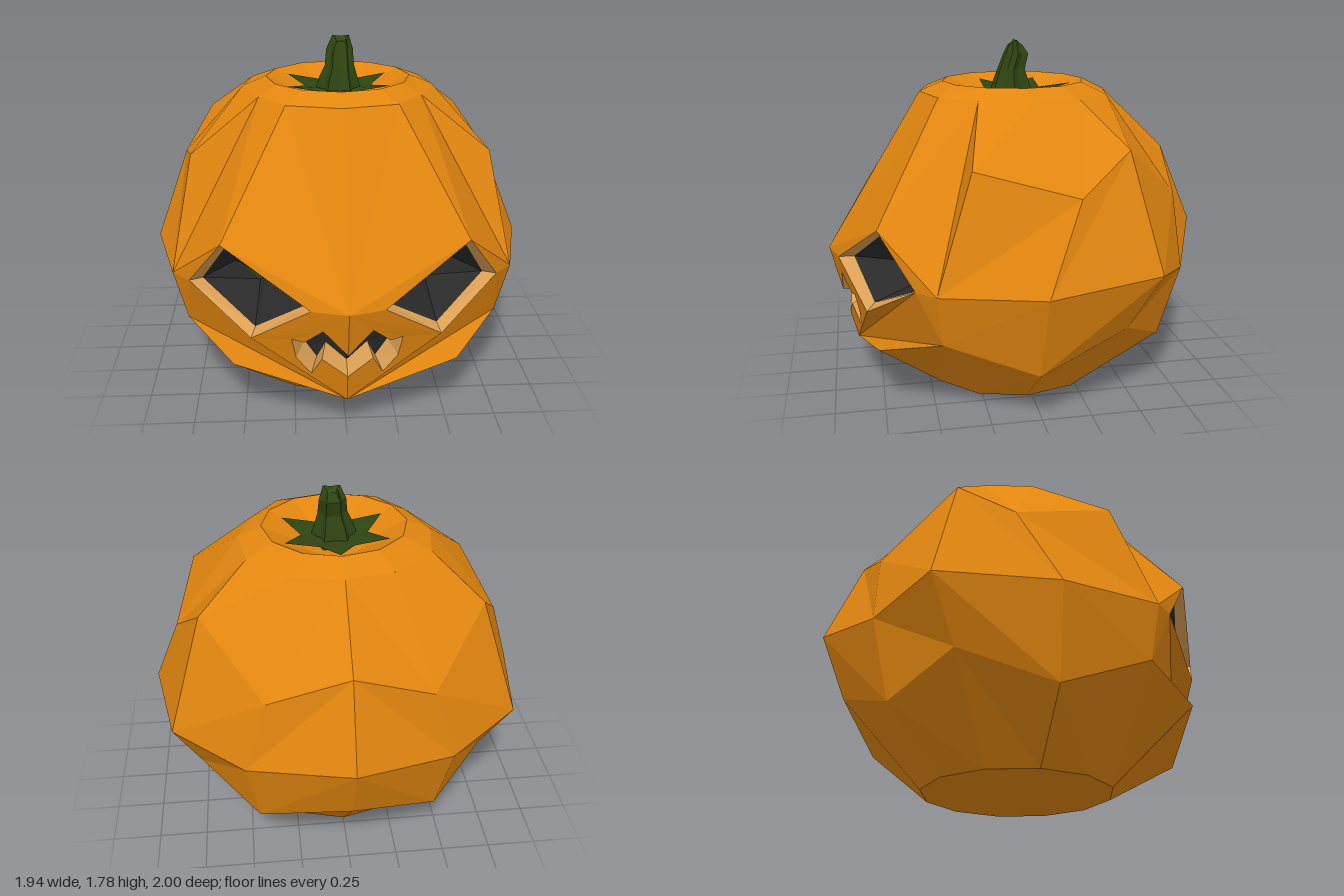
import * as THREE from 'three';

const mat = (name, color, side = THREE.FrontSide) => {
  const m = new THREE.MeshStandardMaterial({ color, side, flatShading: true });
  m.name = name;
  return m;
};

// Triangle collector: every helper takes [x, y, z] points, counter-clockwise from outside
class Faces {
  constructor() { this.data = []; }
  tri(a, b, c) { this.data.push(...a, ...b, ...c); }
  quad(a, b, c, d) { this.tri(a, b, c); this.tri(a, c, d); }
  poly(pts) {
    const flat = pts.map(p => new THREE.Vector2(p[0], p[1]));
    for (const [a, b, c] of THREE.ShapeUtils.triangulateShape(flat, [])) this.tri(pts[a], pts[b], pts[c]);
  }
  // Strip between two closed loops
  band(lower, upper) {
    const n = lower.length;
    for (let i = 0; i < n; i++) {
      const k = (i + 1) % n;
      this.quad(lower[i], lower[k], upper[k], upper[i]);
    }
  }
  fan(loop, tip) { loop.forEach((p, i) => this.tri(p, loop[(i + 1) % loop.length], tip)); }
  // Add the reflection in x
  mirror() {
    const d = this.data, n = d.length;
    for (let i = 0; i < n; i += 9)
      for (const k of [0, 6, 3]) d.push(-d[i + k], d[i + k + 1], d[i + k + 2]);
    return this;
  }
  mesh(name, material) {
    const g = new THREE.BufferGeometry();
    g.setAttribute('position', new THREE.Float32BufferAttribute(this.data, 3));
    g.computeVertexNormals();
    const m = new THREE.Mesh(g, material);
    m.name = name;
    return m;
  }
}

// Half ring of seven points, from the front round to the back
const halfRing = (y, r, cz = 0) => Array.from({ length: 7 }, (_, i) => {
  const a = i * Math.PI / 6;
  return [r * Math.sin(a), y, cz + r * Math.cos(a)];
});

export function createModel() {
  const group = new THREE.Group();
  const orange = mat('orange skin', 0xe2860f);
  const tan = mat('tan flesh', 0xdca055, THREE.DoubleSide);
  const dark = mat('dark hollow', 0x2a2a2a, THREE.DoubleSide);
  const green = mat('stem green', 0x2f4512, THREE.DoubleSide);

  // Rings of the +x half, bottom to top
  const low = [[0, .19, .87], [.54, .34, .77], [.78, .45, .48], [.84, .28, .03], [.74, .45, -.42], [.45, .28, -.68], [0, .44, -.87]];
  const mid = [[0, .71, 1], [.58, .71, .75], [.84, .71, .51], [.97, .71, .02], [.86, .75, -.55], [.51, .66, -.77], [0, .77, -1]];
  const up = [[0, .96, .846], [.58, .96, .76], [.74, 1.26, .33], [.82, 1.13, -.16], [.69, 1.32, -.42], [.4, 1.03, -.75], [0, 1.19, -.82]];
  const top = [[0, 1.525, .5], [.27, 1.525, .43], [.4, 1.525, .25], [.49, 1.525, 0], [.45, 1.52, -.24], [.24, 1.515, -.43], [0, 1.515, -.48]];
  const rings = [halfRing(0, .49, .025), low, mid, up, top, halfRing(1.575, .37, .01), halfRing(1.48, .17)];

  // Eye opening: inner corner, top, outer corner, bottom
  const eye = [[.17, .71, .95], [.58, .96, .76], [.75, .71, .6], [.45, .51, .82]];
  const eyeIn = [[.175, .71, .87], [.55, .945, .72], [.69, .7, .55], [.43, .55, .78]];
  const [eA, eB, eC, eD] = eye;

  // Mouth opening, right half from top notch to bottom notch
  const mouth2D = [[0, .47], [.115, .6], [.2, .52], [.26, .53], [.24, .42], [.17, .33], [.12, .43], [0, .34]];
  const mouth = mouth2D.map(([x, y]) => [x, y, 1 - .25 * (.71 - y) - .3 * x]);
  const mouthIn = mouth.map(([x, y, z], i) => [x * .83, i > 3 ? y + .035 : y - .005, z - .1]);

  // Skin: regular panels, leaving the carved front for later
  const skin = new Faces();
  for (let r = 0; r < rings.length - 1; r++)
    for (let j = 0; j < 6; j++) {
      if (j < 2 && r >= 1 && r <= 3) continue;
      skin.quad(rings[r][j], rings[r][j + 1], rings[r + 1][j + 1], rings[r + 1][j]);
    }
  for (let j = 0; j < 6; j++) {
    skin.tri(rings[0][j + 1], rings[0][j], [0, 0, .025]);
    skin.tri(rings[6][j], rings[6][j + 1], [0, 1.46, 0]);
  }
  // Carved front panels
  skin.poly([low[0], low[1], low[2], mid[2], eC, eD, eA, mid[0], ...mouth]);
  skin.poly([mid[0], eA, eB, top[1], top[0]]);
  skin.poly([eB, eC, mid[2], up[2], top[2], top[1]]);
  group.add(skin.mirror().mesh('pumpkinSkin', orange));

  // Cut edges of the shell
  const eyeCut = new Faces();
  eyeCut.band(eye, eyeIn);
  group.add(eyeCut.mirror().mesh('eyeCutEdges', tan));
  const mouthCut = new Faces();
  for (let i = 0; i < mouth.length - 1; i++)
    mouthCut.quad(mouth[i], mouth[i + 1], mouthIn[i + 1], mouthIn[i]);
  group.add(mouthCut.mirror().mesh('mouthCutEdges', tan));

  // Dark pockets behind the openings, with a green pupil at the end of each eye
  const [a, b, c, d] = eyeIn;
  const p = [.37, .71, .5], q = [.53, .765, .5], s = [.41, .66, .5];
  const pocket = new Faces();
  pocket.quad(a, p, q, b);
  pocket.tri(b, q, c);
  pocket.quad(c, q, s, d);
  pocket.quad(d, s, p, a);
  group.add(pocket.mirror().mesh('eyeHollows', dark));
  const pupil = new Faces();
  pupil.tri(p, s, q);
  group.add(pupil.mirror().mesh('pupils', green));
  const mouthBack = new Faces();
  mouthBack.poly([...mouthIn].reverse());
  group.add(mouthBack.mirror().mesh('mouthHollow', dark));

  // Six-pointed leaf collar
  const collar = new Faces();
  const star = Array.from({ length: 12 }, (_, i) => {
    const t = i * Math.PI / 6, tip = i % 2 === 0, r = tip ? .3 : .17;
    return [r * Math.sin(t), tip ? 1.55 : 1.52, r * Math.cos(t)];
  });
  collar.fan(star, [0, 1.5, 0]);
  group.add(collar.mesh('leafCollar', green));

  // Ribbed, slightly bent stem
  const stem = new Faces();
  const sections = [[1.47, 0, .02, .13], [1.57, .002, .02, .098], [1.63, .008, .02, .075], [1.71, .01, -.005, .068], [1.78, .015, 0, .042]]
    .map(([y, cx, cz, r]) => Array.from({ length: 12 }, (_, i) => {
      const t = i * Math.PI / 6, k = i % 2 ? r : r * .72;
      return [cx + k * Math.sin(t), y - (y > 1.75 ? Math.abs(k * Math.cos(t)) * .8 : 0), cz + k * Math.cos(t)];
    }));
  for (let i = 0; i < sections.length - 1; i++) stem.band(sections[i], sections[i + 1]);
  stem.fan(sections[4], [.015, 1.775, 0]);
  group.add(stem.mesh('stem', green));

  return group;
}
